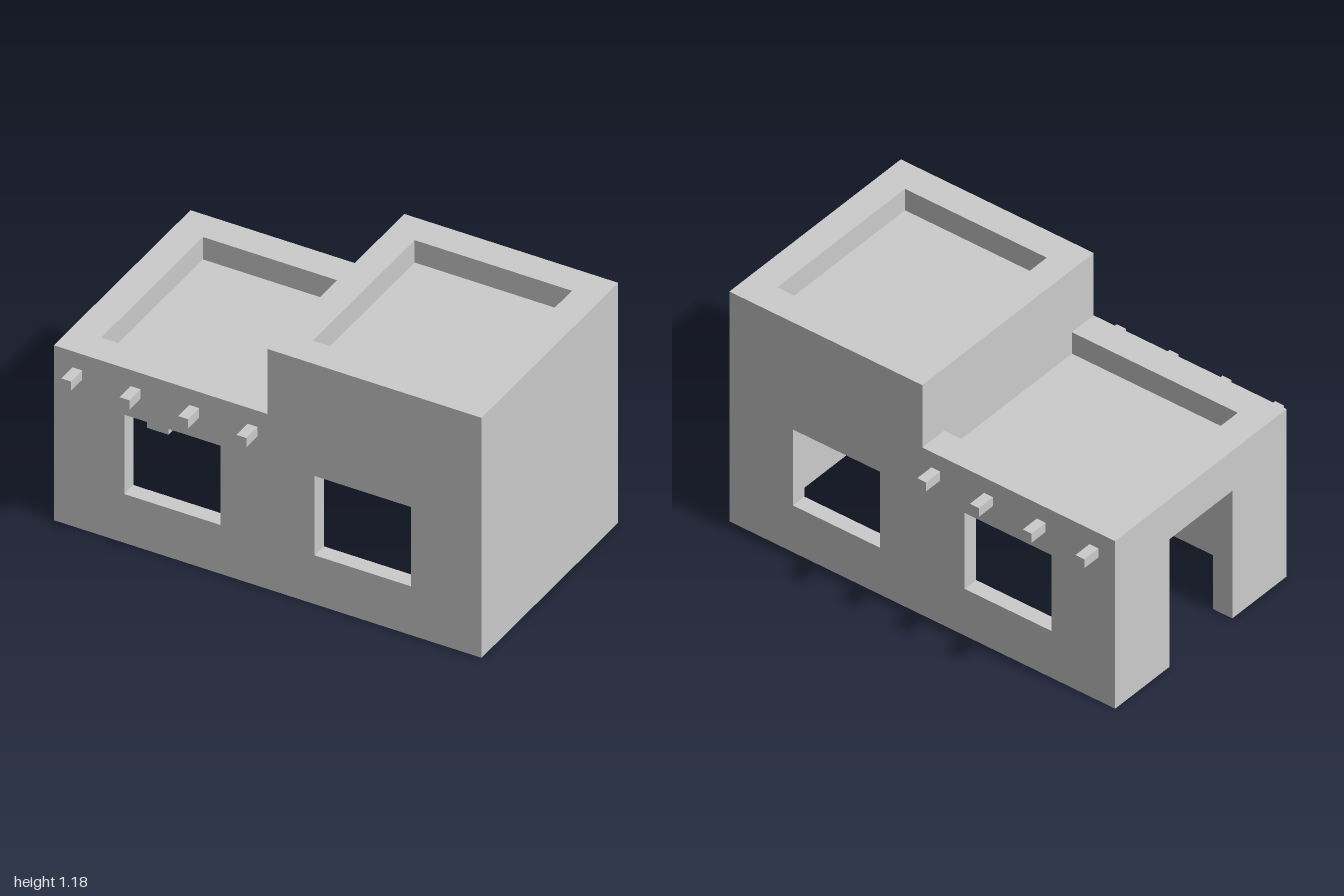
import * as THREE from 'three';

const X = 1, Z = 0.56;             // half width and half depth of the house
const T = 0.075, TE = 0.1;         // long wall and end wall thickness
const LOW = 0.86, HIGH = 1.18;     // parapet heights of the two blocks
const CEILING = 0.72, DECK = 0.11; // ceiling height, depth of the sunken roof decks

const material = new THREE.MeshStandardMaterial({ color: 0xcccccc, flatShading: true });

function polygon(points, Type = THREE.Shape) {
  return new Type(points.map(([x, y]) => new THREE.Vector2(x, y)));
}

function rectangle(x0, x1, y0, y1, Type) {
  return polygon([[x0, y0], [x1, y0], [x1, y1], [x0, y1]], Type);
}

function extrude(shape, depth) {
  return new THREE.ExtrudeGeometry(shape, { depth, bevelEnabled: false });
}

export function createModel() {
  const house = new THREE.Group();
  house.name = 'house';

  function add(name, geometry, x = 0, y = 0, z = 0) {
    const mesh = new THREE.Mesh(geometry, material);
    mesh.name = name;
    mesh.position.set(x, y, z);
    house.add(mesh);
  }

  // Flat plan shape raised from y0 to y1
  function addRaised(name, shape, y0, y1) {
    add(name, extrude(shape, y1 - y0).rotateX(-Math.PI / 2), 0, y0, 0);
  }

  // Stepped front and back walls, each with two windows
  const wall = polygon([[-X, 0], [X, 0], [X, HIGH], [0, HIGH], [0, LOW], [-X, LOW]]);
  wall.holes.push(rectangle(-0.67, -0.22, 0.24, 0.63, THREE.Path));
  wall.holes.push(rectangle(0.22, 0.67, 0.24, 0.63, THREE.Path));
  add('frontWall', extrude(wall, T), 0, 0, Z - T);
  add('backWall', extrude(wall, T), 0, 0, -Z);

  // End walls: a doorway on one side, solid on the other
  const zi = Z - T, door = 0.205, doorTop = 0.655;
  const doorWall = polygon([
    [-zi, 0], [-door, 0], [-door, doorTop], [door, doorTop],
    [door, 0], [zi, 0], [zi, CEILING], [-zi, CEILING],
  ]);
  add('doorWall', extrude(doorWall, TE).rotateY(-Math.PI / 2), -X + TE, 0, 0);
  add('endWall', new THREE.BoxGeometry(TE, CEILING, 2 * zi), X - TE / 2, CEILING / 2, 0);

  // Roof masses up to the sunken decks
  addRaised('lowRoof', rectangle(-X, 0, -zi, zi), CEILING, LOW - DECK);
  addRaised('highRoof', rectangle(0, X, -zi, zi), CEILING, HIGH - DECK);

  // Parapets: three sides on the low roof, four on the high roof
  const p = 0.417;
  addRaised('lowParapet', polygon([
    [0, -zi], [0, -p], [-0.86, -p], [-0.86, p], [0, p], [0, zi], [-X, zi], [-X, -zi],
  ]), LOW - DECK, LOW);
  const ring = rectangle(0, X, -zi, zi);
  ring.holes.push(rectangle(0.13, 0.865, -p, p, THREE.Path));
  addRaised('highParapet', ring, HIGH - DECK, HIGH);

  // Beam ends poking out of both long walls
  const beam = new THREE.BoxGeometry(0.046, 0.046, 0.11);
  for (const x of [-0.89, -0.617, -0.343, -0.07]) {
    for (const side of [1, -1]) add('beamEnd', beam, x, 0.758, side * 0.597);
  }

  return house;
}
